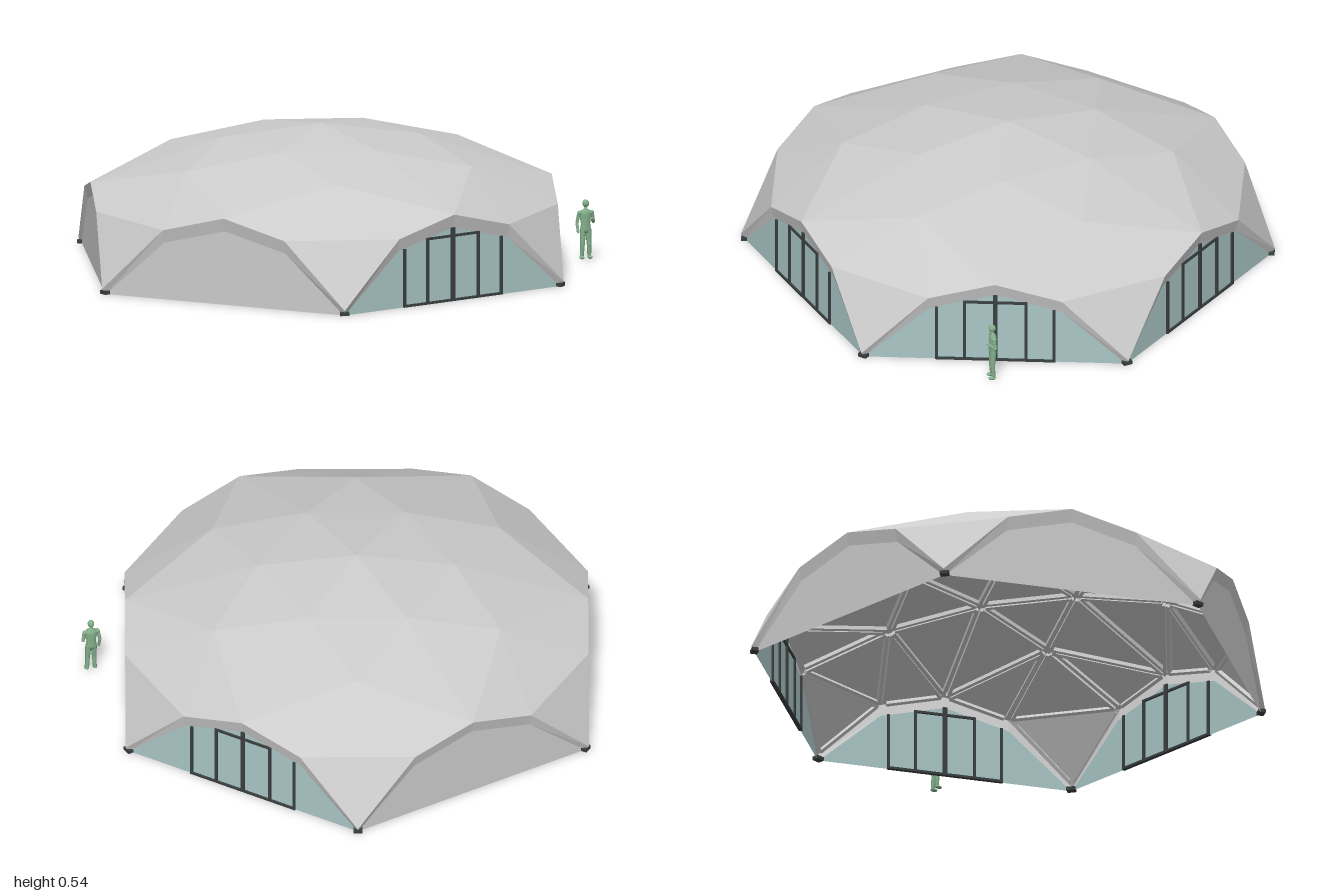
import * as THREE from 'three';
import { mergeGeometries } from 'three/addons/utils/BufferGeometryUtils.js';

const grey = new THREE.MeshStandardMaterial({ color: 0xcccccc, flatShading: true, side: THREE.DoubleSide });
const glass = new THREE.MeshStandardMaterial({ color: 0xa9c6c5, side: THREE.DoubleSide });
const dark = new THREE.MeshStandardMaterial({ color: 0x3a3f40 });
const green = new THREE.MeshStandardMaterial({ color: 0x84b08c });

const APOTHEM = Math.sqrt(3) / 2;
const INSET = 0.012; // how far walls sit behind the arch edge

const V = (x, y, z) => new THREE.Vector3(x, y, z);
const polar = (r, deg, y) => {
  const a = THREE.MathUtils.degToRad(deg);
  return V(r * Math.cos(a), y, r * Math.sin(a));
};

function add(parent, name, geometry, material) {
  const mesh = new THREE.Mesh(geometry, material);
  mesh.name = name;
  parent.add(mesh);
  return mesh;
}

function triangles(list) {
  const g = new THREE.BufferGeometry().setFromPoints(list.flat());
  g.computeVertexNormals();
  return g;
}

// Facets of the roof, corner by corner, all wound to face outwards
function roofPanels() {
  const apex = V(0, 0.54, 0);
  const panels = [];
  for (let a = 0; a < 360; a += 60) {
    const ring1 = polar(0.37, a + 30, 0.492);
    const ring1Next = polar(0.37, a + 90, 0.492);
    const ring2 = polar(0.62, a, 0.425);
    const ring2Next = polar(0.62, a + 60, 0.425);
    const crown = polar(APOTHEM, a + 30, 0.33);
    const foot = polar(1, a, 0.02);
    const footNext = polar(1, a + 60, 0.02);
    const footPrev = polar(1, a - 60, 0.02);
    const quarter = (p, q) => p.clone().lerp(q, 0.25).setY(0.265);
    const qLeft = quarter(foot, footNext);
    const qRight = quarter(foot, footPrev);
    const qFar = quarter(footNext, foot);
    panels.push(
      [apex, ring1, ring1Next], [ring1, ring2Next, ring1Next],
      [ring1, crown, ring2], [ring1, crown, ring2Next],
      [ring2, qLeft, crown], [ring2Next, qFar, crown],
      [ring2, qLeft, qRight], [foot, qLeft, qRight],
    );
  }
  return panels.map(([a, b, c]) => {
    const n = b.clone().sub(a).cross(c.clone().sub(a));
    return n.y > 0 ? [a, b, c] : [a, c, b];
  });
}

// Beams lining the underside of one panel, just inside each edge
function panelBeams([a, b, c]) {
  const n = b.clone().sub(a).cross(c.clone().sub(a)).normalize();
  return [[a, b], [b, c], [c, a]].map(([p, q]) => {
    const dir = q.clone().sub(p);
    const length = dir.length();
    dir.normalize();
    const inward = n.clone().cross(dir);
    const mid = p.clone().lerp(q, 0.5).addScaledVector(inward, 0.011).addScaledVector(n, -0.011);
    const g = new THREE.BoxGeometry(length - 0.04, 0.016, 0.013);
    g.applyMatrix4(new THREE.Matrix4().makeBasis(dir, n, inward.negate()).setPosition(mid));
    return g;
  });
}

const outerArch = [[-0.5, 0.02], [-0.25, 0.265], [0, 0.33], [0.25, 0.265], [0.5, 0.02]];
const innerArch = [[-0.49, 0], [-0.25, 0.215], [0, 0.28], [0.25, 0.215], [0.49, 0]];

// One side: tilted arch fascia, infill wall and, when glazed, door frames
function makeSide(glazed) {
  const side = new THREE.Group();
  const zWall = APOTHEM - INSET;
  const strip = [];
  for (let i = 0; i < 4; i++) {
    const [o0, o1] = [outerArch[i], outerArch[i + 1]].map(([x, y]) => V(x, y, APOTHEM));
    const [i0, i1] = [innerArch[i], innerArch[i + 1]].map(([x, y]) => V(x, y, zWall));
    strip.push([i0, i1, o1], [i0, o1, o0]);
  }
  add(side, 'archFascia', triangles(strip), grey);

  const outline = new THREE.Shape(innerArch.map(([x, y]) => new THREE.Vector2(x, y)));
  const wall = add(side, glazed ? 'glassWall' : 'solidWall', new THREE.ShapeGeometry(outline), glazed ? glass : grey);
  wall.position.z = zWall;

  if (glazed) {
    const bars = [];
    const bar = (w, h, x, y) => bars.push(new THREE.BoxGeometry(w, h, 0.014).translate(x, y, zWall));
    for (const x of [-0.22, -0.115, 0, 0.115, 0.22]) {
      const top = 0.28 - Math.abs(x) * 0.26;
      bar(x === 0 ? 0.016 : 0.011, top, x, top / 2);
    }
    bar(0.24, 0.009, 0, 0.249);
    bar(0.44, 0.009, 0, 0.0045);
    add(side, 'doorFrame', mergeGeometries(bars), dark);
  }
  return side;
}

// Small standing figure for scale, facing its own +z
function makeFigure() {
  const figure = new THREE.Group();
  figure.name = 'scaleFigure';
  const limb = (name, a, b, r0, r1) => {
    const d = b.clone().sub(a);
    const g = new THREE.CylinderGeometry(r1, r0, d.length(), 10);
    const m = add(figure, name, g, green);
    m.position.copy(a).lerp(b, 0.5);
    m.quaternion.setFromUnitVectors(V(0, 1, 0), d.normalize());
  };
  const ball = (name, r, x, y, z, sy = 1, sz = 1) => {
    const m = add(figure, name, new THREE.SphereGeometry(r, 12, 8), green);
    m.position.set(x, y, z);
    m.scale.set(1, sy, sz);
  };
  for (const s of [-1, 1]) {
    limb('lowerLeg', V(s * 0.015, 0.008, 0), V(s * 0.013, 0.06, 0.003), 0.007, 0.009);
    limb('upperLeg', V(s * 0.013, 0.06, 0.003), V(s * 0.01, 0.115, 0), 0.009, 0.012);
    ball('shoe', 0.009, s * 0.016, 0.008, 0.006, 0.75, 1.6);
    ball('shoulder', 0.009, s * 0.024, 0.177, 0);
    limb('upperArm', V(s * 0.026, 0.178, 0), V(s * 0.033, 0.14, -0.004), 0.007, 0.006);
  }
  // One arm hangs, the other is bent forward
  limb('hangingForearm', V(-0.033, 0.14, -0.004), V(-0.031, 0.102, 0.006), 0.006, 0.005);
  limb('bentForearm', V(0.033, 0.14, -0.004), V(0.014, 0.158, 0.024), 0.006, 0.005);
  const body = [[0, 0.1], [0.019, 0.102], [0.021, 0.115], [0.018, 0.135], [0.024, 0.17], [0.02, 0.185], [0.007, 0.192], [0.006, 0.203], [0, 0.203]];
  const torso = add(figure, 'torso', new THREE.LatheGeometry(body.map(([x, y]) => new THREE.Vector2(x, y)), 14), green);
  torso.scale.z = 0.62;
  ball('head', 0.0125, 0, 0.213, 0.002, 1.2, 1.1);
  return figure;
}

export function createModel() {
  const model = new THREE.Group();
  model.name = 'facetedPavilion';

  const panels = roofPanels();
  add(model, 'roofPanels', triangles(panels), grey);
  add(model, 'roofBeams', mergeGeometries(panels.flatMap(panelBeams)), grey);

  // Solid walls on the front and left-hand sides, glass on the rest
  [false, true, true, true, false, false].forEach((glazed, i) => {
    const side = makeSide(glazed);
    side.name = glazed ? 'glazedSide' : 'solidSide';
    side.rotation.y = i * Math.PI / 3;
    model.add(side);
  });

  // Base plates under the six corners
  for (let a = 0; a < 360; a += 60) {
    const plate = add(model, 'basePlate', new THREE.BoxGeometry(0.026, 0.014, 0.034), dark);
    plate.position.copy(polar(0.985, a, 0.007));
    plate.rotation.y = -THREE.MathUtils.degToRad(a);
  }

  const figure = makeFigure();
  figure.position.set(0.86, 0.003, -0.495);
  figure.rotation.y = Math.PI / 4;
  model.add(figure);
  return model;
}
